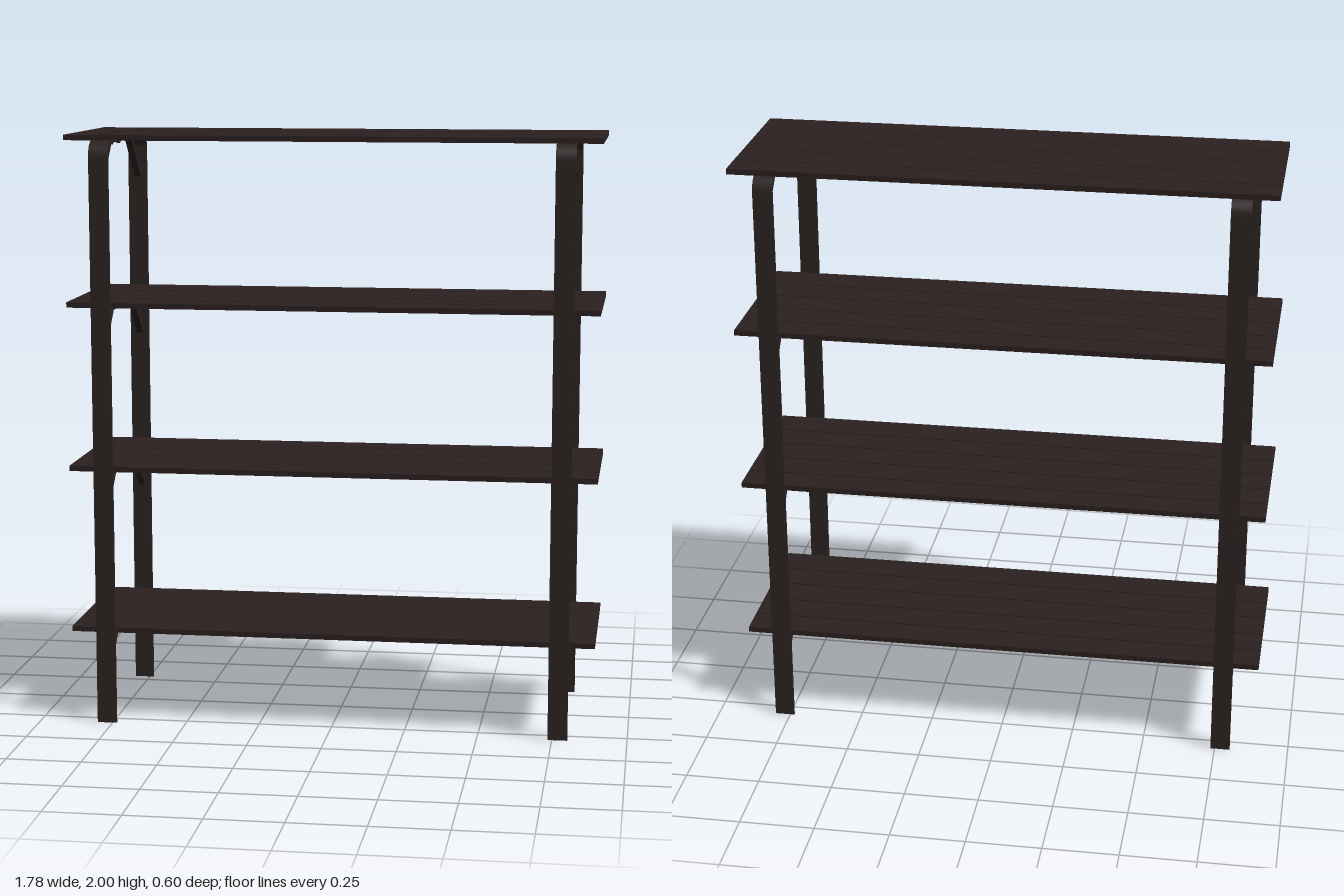
import * as THREE from 'three';

export function createModel() {
  const model = new THREE.Group();
  const wood = new THREE.MeshStandardMaterial({ name: 'dark wood', color: 0x2c2020 });
  const metal = new THREE.MeshStandardMaterial({ name: 'dark metal', color: 0x2c2322 });

  const shelfTops = [0.333, 0.889, 1.444, 2.0];
  const plankThickness = 0.018;
  const strapWidth = 0.066, strap = 0.01;
  const halfDepth = 0.302, frameX = 0.769;

  function add(parent, name, geometry, material, x = 0, y = 0, z = 0) {
    const mesh = new THREE.Mesh(geometry, material);
    mesh.name = name;
    mesh.position.set(x, y, z);
    parent.add(mesh);
    return mesh;
  }

  // Flat strap bent into an upside-down U with rounded corners
  function bentStrap(top) {
    const r = 0.055, o = halfDepth, i = halfDepth - strap;
    const s = new THREE.Shape();
    s.moveTo(-o, 0);
    s.lineTo(-i, 0);
    s.lineTo(-i, top - r);
    s.absarc(-o + r, top - r, r - strap, Math.PI, Math.PI / 2, true);
    s.lineTo(o - r, top - strap);
    s.absarc(o - r, top - r, r - strap, Math.PI / 2, 0, true);
    s.lineTo(i, 0);
    s.lineTo(o, 0);
    s.lineTo(o, top - r);
    s.absarc(o - r, top - r, r, 0, Math.PI / 2, false);
    s.lineTo(-o + r, top);
    s.absarc(-o + r, top - r, r, Math.PI / 2, Math.PI, false);
    s.closePath();
    const g = new THREE.ExtrudeGeometry(s, { depth: strapWidth, bevelEnabled: false, curveSegments: 8 });
    return g.translate(0, 0, -strapWidth / 2).rotateY(Math.PI / 2);
  }

  // Diagonal brace with ends cut flush to the leg and the shelf bar
  function braceGeometry(side) {
    const t = 0.028, reach = 0.155, z = halfDepth - strap / 2;
    const s = new THREE.Shape();
    s.moveTo(-side * z, -reach);
    s.lineTo(-side * (z - reach), 0);
    s.lineTo(-side * (z - reach + t), 0);
    s.lineTo(-side * z, -reach + t);
    s.closePath();
    const g = new THREE.ExtrudeGeometry(s, { depth: 0.024, bevelEnabled: false });
    return g.translate(0, 0, -0.012).rotateY(Math.PI / 2);
  }

  // Five planks per shelf
  const plankEdges = [[-0.292, -0.19], [-0.184, -0.072], [-0.066, 0.05], [0.056, 0.165], [0.171, 0.29]];
  for (const top of shelfTops) {
    const shelf = new THREE.Group();
    shelf.name = 'shelf';
    model.add(shelf);
    for (const [a, b] of plankEdges) {
      add(shelf, 'plank', new THREE.BoxGeometry(1.776, plankThickness, b - a), wood,
        0, top - plankThickness / 2, (a + b) / 2);
    }
  }

  // Two end frames
  for (const x of [-frameX, frameX]) {
    const frame = new THREE.Group();
    frame.name = 'endFrame';
    frame.position.x = x;
    model.add(frame);
    add(frame, 'uprightStrap', bentStrap(2 - plankThickness), metal);

    for (const top of shelfTops) {
      const under = top - plankThickness;
      // Cross bar under each lower shelf
      if (top < 2) {
        add(frame, 'crossBar', new THREE.BoxGeometry(strapWidth, strap, 2 * (halfDepth - strap)), metal,
          0, under - strap / 2, 0);
      }
      for (const side of [-1, 1]) {
        add(frame, 'brace', braceGeometry(side), metal, 0, under - strap / 2, 0);
      }
    }

    // Bolt heads holding the top planks
    for (const z of [-0.23, -0.12, 0, 0.11, 0.23]) {
      add(frame, 'bolt', new THREE.CylinderGeometry(0.01, 0.006, 0.012, 10), metal,
        0, 2 - plankThickness - strap - 0.006, z);
    }
  }
  return model;
}
